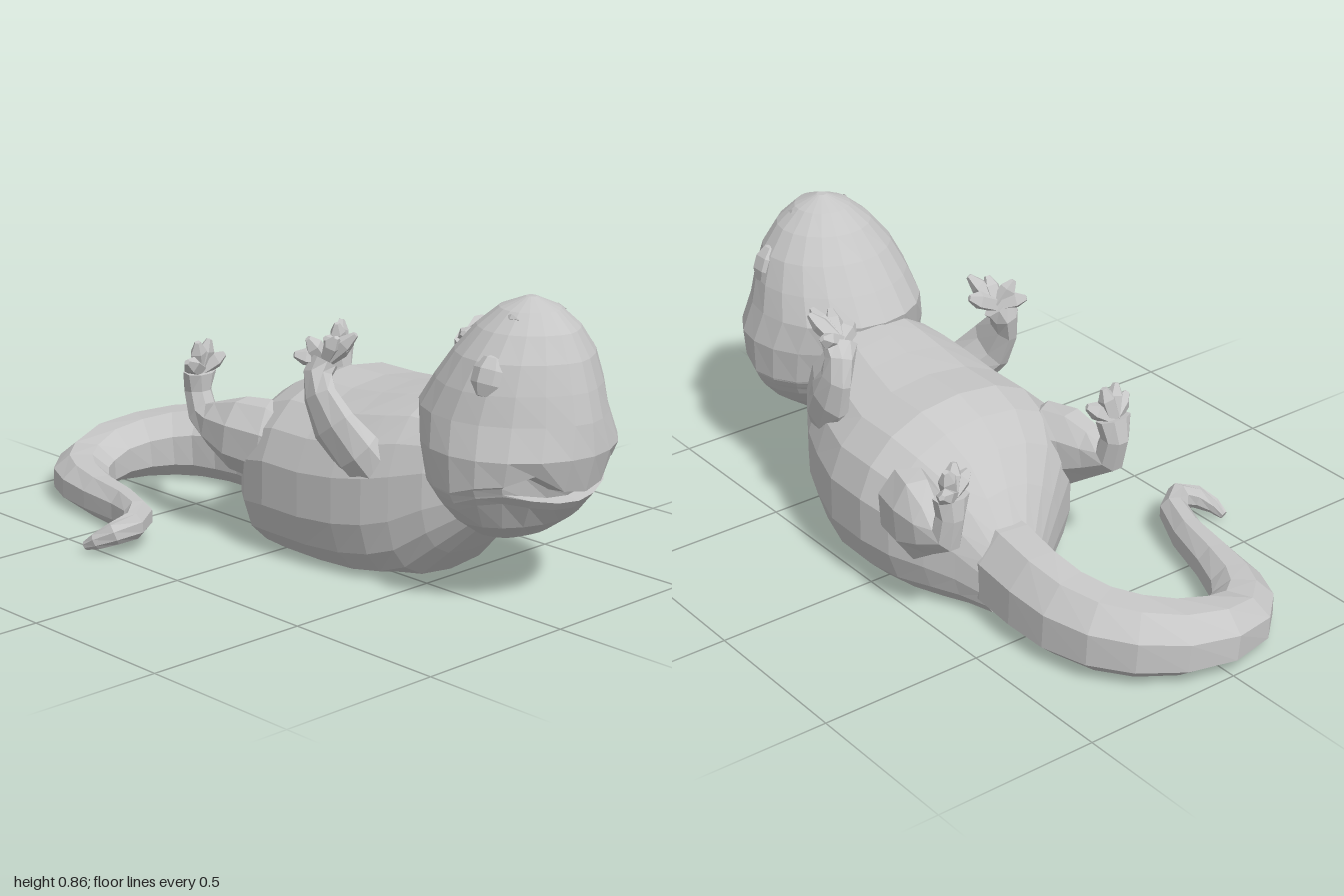
import * as THREE from 'three';

const V = (x, y, z) => new THREE.Vector3(x, y, z);
const skin = new THREE.MeshStandardMaterial({ color: 0xc6c6c6, flatShading: true });
skin.name = 'grey skin';

// Closed skin over a list of rings, turned so that its faces point outward
function loft(rings) {
  const n = rings[0].length, pos = rings.flat(), idx = [];
  for (let r = 0; r < rings.length - 1; r++) {
    for (let i = 0; i < n; i++) {
      const a = r * n + i, b = r * n + (i + 1) % n;
      idx.push(a, b, b + n, a, b + n, a + n);
    }
  }
  for (const [r, flip] of [[0, true], [rings.length - 1, false]]) {
    const c = pos.length;
    pos.push(rings[r].reduce((s, p) => s.add(p), V(0, 0, 0)).divideScalar(n));
    for (let i = 0; i < n; i++) {
      const a = r * n + i, b = r * n + (i + 1) % n;
      idx.push(...(flip ? [b, a, c] : [a, b, c]));
    }
  }
  let volume = 0;
  for (let i = 0; i < idx.length; i += 3) {
    volume += pos[idx[i]].dot(pos[idx[i + 1]].clone().cross(pos[idx[i + 2]]));
  }
  if (volume < 0) idx.reverse();
  const g = new THREE.BufferGeometry().setFromPoints(pos);
  g.setIndex(idx);
  const flat = g.toNonIndexed();
  flat.computeVertexNormals();
  return flat;
}

// Tapered limb through nodes [x, y, z, radius along ref, radius across]
function limb(nodes, sides, ref, grounded = false) {
  const p = nodes.map(n => V(n[0], n[1], n[2]));
  return loft(nodes.map((n, k) => {
    const t = p[Math.min(k + 1, p.length - 1)].clone().sub(p[Math.max(k - 1, 0)]).normalize();
    const u = ref.clone().addScaledVector(t, -ref.dot(t)).normalize();
    const v = t.clone().cross(u);
    return Array.from({ length: sides }, (_, i) => {
      const a = (i + 0.5) / sides * Math.PI * 2;
      const q = p[k].clone().addScaledVector(u, Math.cos(a) * n[3]).addScaledVector(v, Math.sin(a) * n[4]);
      if (grounded) q.y = Math.max(0, q.y);
      return q;
    });
  }));
}

const bulge = (c, e) => Math.sign(c) * Math.abs(c) ** e;

function bodyGeometry() {
  // z, centre x, half width, bottom, top
  const sections = [
    [0.66, 0.125, 0.12, 0.2, 0.45], [0.55, 0.13, 0.21, 0.085, 0.53],
    [0.46, 0.14, 0.262, 0, 0.55], [0.38, 0.15, 0.302, -0.03, 0.54], [0.28, 0.16, 0.332, -0.045, 0.525],
    [0.15, 0.175, 0.357, -0.05, 0.51], [0, 0.178, 0.358, -0.05, 0.51],
    [-0.1, 0.175, 0.335, -0.05, 0.475], [-0.2, 0.19, 0.27, -0.035, 0.42],
    [-0.28, 0.22, 0.19, -0.02, 0.34], [-0.36, 0.255, 0.11, -0.01, 0.24],
  ];
  return loft(sections.map(([z, x, w, lo, hi]) => Array.from({ length: 18 }, (_, i) => {
    const a = (i + 0.5) / 18 * Math.PI * 2, e = a > Math.PI ? 0.74 : 0.92;
    const y = (lo + hi) / 2 + bulge(Math.sin(a), e) * (hi - lo) / 2;
    return V(x + bulge(Math.cos(a), e) * w, Math.max(0, y), z);
  })));
}

function headGeometry() {
  // Height of the lips, from the middle of the mouth outward to each side
  const lower = [0, 0.005, 0.02, 0.035, 0.025, 0], upper = [0, 0.012, 0.062, 0.035, 0.025, 0];
  const none = [0, 0, 0, 0, 0, 0];
  // y, half width, back z, front z, mouth depth, lip heights
  const sections = [
    [0.18, 0.07, 0.68, 0.76, 0, none], [0.2, 0.13, 0.63, 0.81, 0, none], [0.25, 0.205, 0.58, 0.88, 0, none],
    [0.3, 0.25, 0.535, 0.93, 0, lower], [0.324, 0.265, 0.52, 0.95, 0, lower],
    [0.33, 0.268, 0.515, 0.952, 0.045, lower], [0.35, 0.278, 0.5, 0.962, 0.045, upper],
    [0.356, 0.28, 0.495, 0.972, 0, upper], [0.46, 0.284, 0.46, 1, 0, none],
    [0.55, 0.257, 0.435, 0.99, 0, none], [0.63, 0.234, 0.49, 0.97, 0, none], [0.71, 0.2, 0.55, 0.945, 0, none],
    [0.78, 0.145, 0.61, 0.905, 0, none], [0.83, 0.085, 0.67, 0.85, 0, none], [0.86, 0.015, 0.745, 0.775, 0, none],
  ];
  return loft(sections.map(([y, w, back, front, mouth, lips]) => Array.from({ length: 20 }, (_, i) => {
    const a = i / 20 * Math.PI * 2, c = Math.cos(a), s = Math.sin(a);
    const lift = lips[Math.min(5, Math.abs(i - 5))];
    const inset = s > 0.7 ? mouth : 0;
    const muzzle = s > 0 ? (y > 0.5 ? 1.3 : 1.12) : 1;
    return V(0.121 + bulge(c, muzzle) * w, y + lift, (back + front) / 2 + s * (front - back) / 2 - inset);
  })));
}

export function createModel() {
  const model = new THREE.Group();
  const add = (name, geometry, parent = model) => {
    const mesh = new THREE.Mesh(geometry, skin);
    mesh.name = name;
    parent.add(mesh);
    return mesh;
  };
  const X = V(1, 0, 0), Y = V(0, 1, 0);

  add('body', bodyGeometry());
  add('head', headGeometry());

  // Eyes and nostrils
  for (const s of [-1, 1]) {
    const eye = add('eye', new THREE.SphereGeometry(1, 7, 5));
    eye.scale.set(0.042, 0.065, 0.055);
    eye.position.set(0.121 + s * 0.187, 0.67, 0.78);
    eye.rotation.z = s * 0.35;
    const nostril = add('nostril', new THREE.OctahedronGeometry(1));
    nostril.scale.set(0.008, 0.012, 0.028);
    nostril.position.set(0.121 + s * 0.095, 0.815, 0.775);
  }

  // Curled tail resting on the ground: x, y, z, half height, half width
  add('tail', limb([
    [0.235, 0.12, -0.14, 0.15, 0.1], [0.262, 0.12, -0.36, 0.152, 0.12], [0.277, 0.115, -0.5, 0.145, 0.115],
    [0.272, 0.107, -0.62, 0.137, 0.115], [0.24, 0.103, -0.73, 0.128, 0.115], [0.18, 0.098, -0.81, 0.12, 0.115],
    [0.09, 0.09, -0.87, 0.11, 0.113],
    [-0.02, 0.08, -0.895, 0.1, 0.11], [-0.13, 0.065, -0.87, 0.085, 0.103], [-0.205, 0.06, -0.81, 0.08, 0.093],
    [-0.25, 0.06, -0.73, 0.075, 0.08],
    [-0.285, 0.06, -0.61, 0.07, 0.064], [-0.32, 0.065, -0.45, 0.065, 0.05], [-0.365, 0.08, -0.335, 0.05, 0.045],
    [-0.43, 0.08, -0.28, 0.043, 0.037], [-0.49, 0.065, -0.295, 0.035, 0.03],
    [-0.525, 0.04, -0.335, 0.026, 0.02], [-0.535, 0.02, -0.372, 0.014, 0.012],
  ], 8, Y, true));

  // Limb with fingers fanned out from its last node
  function paw(name, nodes, tips) {
    const group = new THREE.Group();
    group.name = name;
    model.add(group);
    add(name + 'Limb', limb(nodes, 8, X), group);
    const [px, py, pz] = nodes[nodes.length - 1];
    for (const [x, y, z] of tips) {
      const at = (f, r) => [px + (x - px) * f, py + (y - py) * f, pz + (z - pz) * f, r, r * 0.85];
      add(name + 'Finger', limb([at(0, 0.026), at(0.65, 0.028), at(1, 0.01)], 5, X), group);
    }
  }

  paw('leftArm', [
    [0.36, 0.32, 0.36, 0.075, 0.075], [0.41, 0.39, 0.33, 0.055, 0.082], [0.43, 0.46, 0.285, 0.042, 0.08],
    [0.425, 0.53, 0.26, 0.036, 0.06], [0.405, 0.585, 0.265, 0.044, 0.044], [0.385, 0.62, 0.295, 0.056, 0.032],
  ], [[0.308, 0.645, 0.335], [0.342, 0.675, 0.4], [0.39, 0.68, 0.425], [0.432, 0.695, 0.375], [0.455, 0.66, 0.28]]);

  paw('rightArm', [
    [-0.07, 0.32, 0.37, 0.075, 0.075], [-0.125, 0.38, 0.34, 0.06, 0.082], [-0.16, 0.45, 0.285, 0.042, 0.08],
    [-0.167, 0.53, 0.235, 0.036, 0.058], [-0.15, 0.585, 0.21, 0.044, 0.042], [-0.13, 0.62, 0.215, 0.053, 0.032],
  ], [[-0.2, 0.64, 0.165], [-0.18, 0.69, 0.2], [-0.13, 0.695, 0.265], [-0.08, 0.7, 0.29], [-0.04, 0.66, 0.235]]);

  paw('leftLeg', [
    [0.39, 0.28, -0.09, 0.085, 0.09], [0.44, 0.285, -0.12, 0.095, 0.13], [0.465, 0.29, -0.2, 0.083, 0.125],
    [0.482, 0.305, -0.28, 0.062, 0.078], [0.48, 0.32, -0.345, 0.044, 0.055], [0.475, 0.38, -0.355, 0.042, 0.042],
    [0.472, 0.44, -0.355, 0.058, 0.035],
  ], [[0.4, 0.49, -0.34], [0.45, 0.53, -0.34], [0.5, 0.53, -0.37], [0.54, 0.48, -0.405]]);

  paw('rightLeg', [
    [-0.03, 0.3, -0.07, 0.085, 0.09], [-0.075, 0.31, -0.1, 0.095, 0.125], [-0.105, 0.32, -0.18, 0.085, 0.115],
    [-0.115, 0.335, -0.265, 0.065, 0.075], [-0.115, 0.355, -0.33, 0.045, 0.052], [-0.115, 0.42, -0.35, 0.042, 0.042],
    [-0.115, 0.48, -0.34, 0.058, 0.035],
  ], [[-0.19, 0.525, -0.31], [-0.14, 0.575, -0.32], [-0.09, 0.575, -0.325], [-0.042, 0.525, -0.31]]);

  return model;
}
